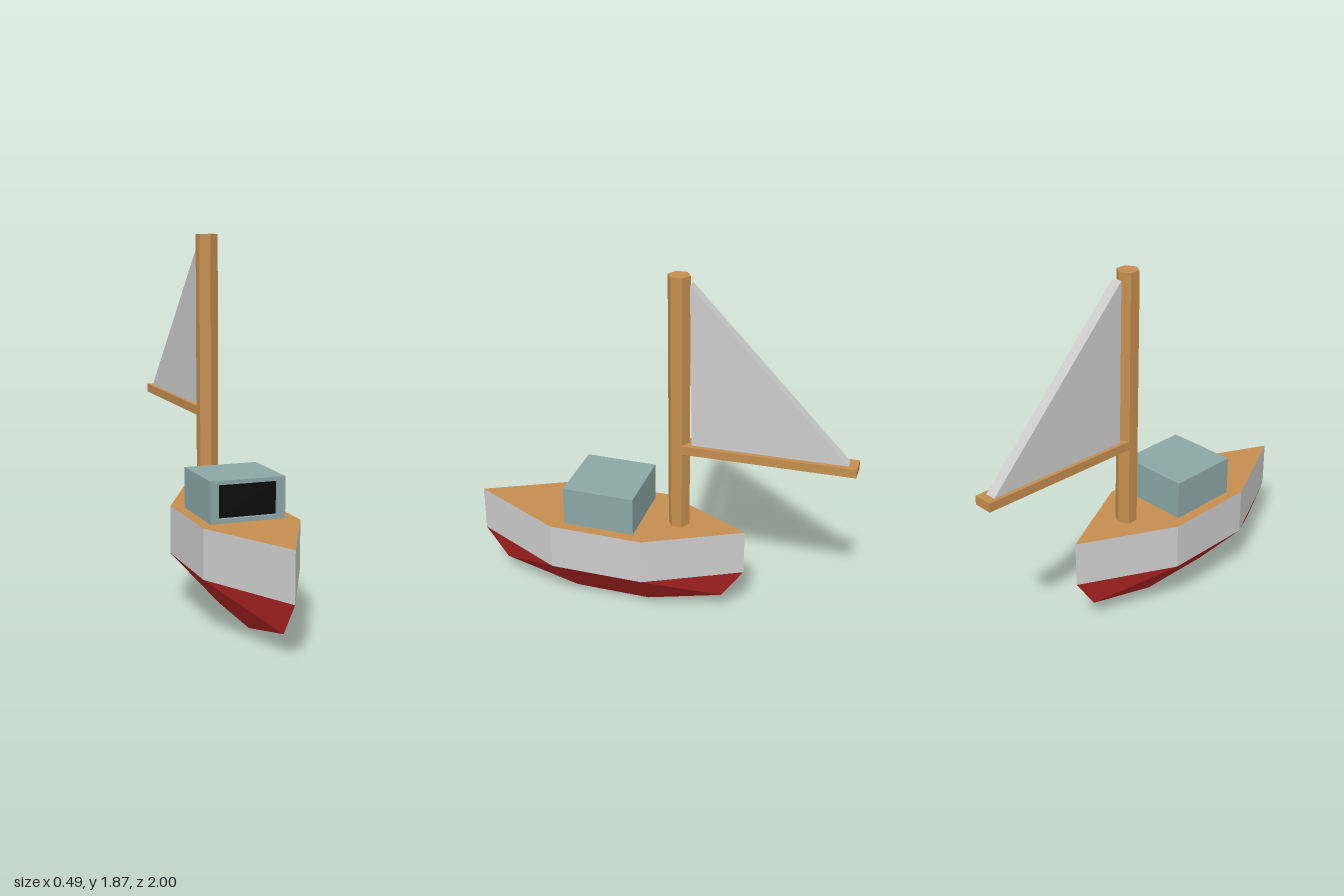
import * as THREE from 'three';

const paint = (color) => new THREE.MeshStandardMaterial({ color, flatShading: true });

export function createModel() {
  const boat = new THREE.Group();
  const wood = paint(0xc48d4e), grey = paint(0xcccccc), red = paint(0xb72626);
  const teal = paint(0x8aa6a5), black = paint(0x0a0a0a);

  const add = (name, geometry, material, parent = boat) => {
    const mesh = new THREE.Mesh(geometry, material);
    mesh.name = name;
    parent.add(mesh);
    return mesh;
  };
  const polygon = (points) => new THREE.Shape(points.map(([x, y]) => new THREE.Vector2(x, y)));
  const rectangle = (x, y0, y1) => [[-x, y0], [x, y0], [x, y1], [-x, y1]];
  const extrude = (shape, depth) => new THREE.ExtrudeGeometry(shape, { depth, bevelEnabled: false });

  // Upper hull: six-sided outline with grey sides and a wooden deck
  const outline = [[0, 1], [0.245, 0.51], [0.245, 0.02], [0, -0.46], [-0.245, 0.02], [-0.245, 0.51]];
  add('hullAndDeck',
    extrude(polygon(outline), 0.245).rotateX(Math.PI / 2).translate(0, 0.52, 0),
    [wood, grey]);

  // Lower hull: V-shaped panels from the waterline down to the keel, mirrored
  const y = 0.275;
  const bow = [0, y, 1], foreSide = [0.245, y, 0.51], aftSide = [0.245, y, 0.02], stern = [0, y, -0.46];
  const keel = [[0, 0.105, 0.88], [0, 0, 0.47], [0, 0, 0.06], [0, 0.105, -0.345]];
  const panels = [
    [bow, keel[0], foreSide], [keel[0], keel[1], foreSide],
    [keel[1], keel[2], foreSide], [keel[2], aftSide, foreSide],
    [keel[2], keel[3], aftSide], [keel[3], stern, aftSide],
  ];
  const positions = [];
  for (const side of [1, -1]) {
    for (const panel of panels) {
      const corners = side > 0 ? panel : [...panel].reverse();
      for (const [px, py, pz] of corners) positions.push(px * side, py, pz);
    }
  }
  const bottom = new THREE.BufferGeometry();
  bottom.setAttribute('position', new THREE.Float32BufferAttribute(positions, 3));
  bottom.computeVertexNormals();
  add('lowerHull', bottom, red);

  // Cabin with a recessed front window
  const cabin = new THREE.Group();
  cabin.name = 'cabin';
  boat.add(cabin);
  const recess = 0.02, front = 0.455, back = 0.08;
  add('cabinBody',
    new THREE.BoxGeometry(0.38, 0.205, front - recess - back)
      .translate(0, 0.6225, (front - recess + back) / 2), teal, cabin);
  const frame = polygon(rectangle(0.19, 0.52, 0.725));
  frame.holes.push(polygon(rectangle(0.148, 0.542, 0.705)));
  add('windowFrame', extrude(frame, recess).translate(0, 0, front - recess), teal, cabin);
  add('window', new THREE.PlaneGeometry(0.296, 0.163)
    .translate(0, 0.6235, front - recess + 0.002), black, cabin);

  // Mast: hexagonal pole leaning very slightly
  const mast = add('mast', new THREE.CylinderGeometry(0.056, 0.056, 1.355, 6).translate(0, 0.6775, 0), wood);
  mast.position.set(0, 0.51, -0.11);
  mast.rotation.set(0.011, 0, 0.007);

  // Boom: flat beam rising gently towards the stern
  const boom = add('boom', new THREE.BoxGeometry(0.1, 0.046, 0.87), wood);
  boom.position.set(0, 0.979, -0.565);
  boom.rotation.x = 0.017;

  // Sail: thick triangular slab standing on the boom
  const sail = polygon([[0.158, 1.83], [0.178, 0.99], [0.96, 1.005]]);
  add('sail', extrude(sail, 0.058).rotateY(Math.PI / 2).translate(-0.031, 0, 0), grey);

  return boat;
}
